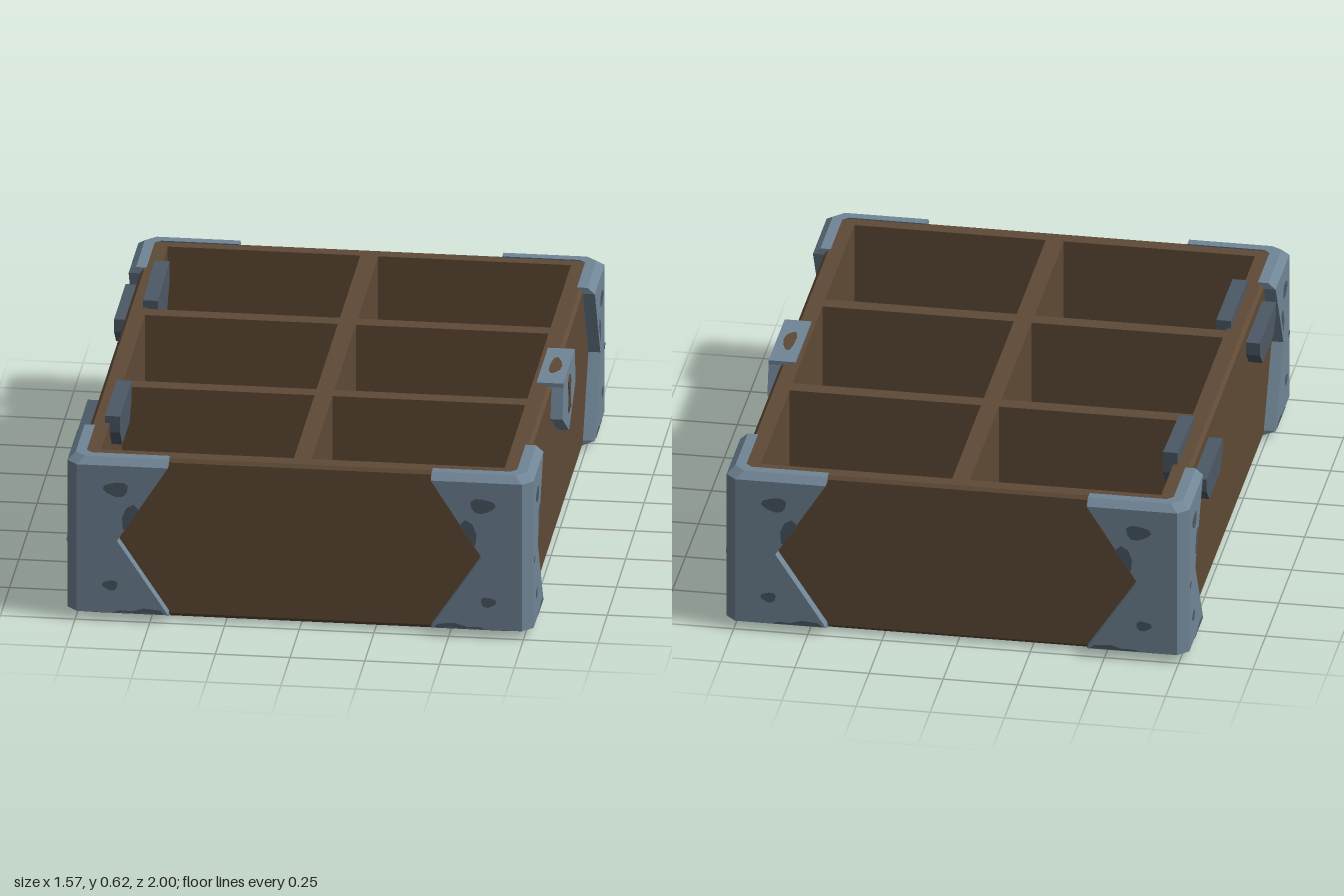
import * as THREE from 'three';

const wood = new THREE.MeshStandardMaterial({ color: 0x5f4a36 });
const steel = new THREE.MeshStandardMaterial({ color: 0x708596 });
const darkSteel = new THREE.MeshStandardMaterial({ color: 0x4c5965, side: THREE.DoubleSide });
wood.name = 'wood';
steel.name = 'steel';
darkSteel.name = 'darkSteel';

function add(group, name, geometry, material) {
  const mesh = new THREE.Mesh(geometry, material);
  mesh.name = name;
  group.add(mesh);
  return mesh;
}

// Flat-shaded loft through plan outlines: rings = [{ y, pts: [[x, z], ...] }]
function loft(rings, capStart, capEnd) {
  const pos = [];
  const loops = rings.map(({ y, pts }) => {
    const v = pts.map(([x, z]) => new THREE.Vector2(x, -z));
    if (THREE.ShapeUtils.isClockWise(v)) v.reverse();
    return v.map((p) => new THREE.Vector3(p.x, y, -p.y));
  });
  const tri = (...ps) => ps.forEach((p) => pos.push(p.x, p.y, p.z));
  for (let i = 0; i < loops.length - 1; i++) {
    const lo = loops[i], hi = loops[i + 1], n = lo.length;
    for (let j = 0; j < n; j++) {
      const k = (j + 1) % n;
      tri(lo[j], lo[k], hi[k]);
      tri(lo[j], hi[k], hi[j]);
    }
  }
  const cap = (loop, flip) => {
    const flat = loop.map((p) => new THREE.Vector2(p.x, -p.z));
    THREE.ShapeUtils.triangulateShape(flat, []).forEach(([a, b, c]) =>
      flip ? tri(loop[a], loop[c], loop[b]) : tri(loop[a], loop[b], loop[c]));
  };
  if (capStart) cap(loops[0], true);
  if (capEnd) cap(loops[loops.length - 1], false);
  const g = new THREE.BufferGeometry();
  g.setAttribute('position', new THREE.Float32BufferAttribute(pos, 3));
  g.computeVertexNormals();
  return g;
}

const rect = (x0, x1, z0, z1) => [[x0, z0], [x1, z0], [x1, z1], [x0, z1]];
const vectors = (pts) => pts.map(([a, b]) => new THREE.Vector2(a, b));

// Slightly uneven oval
function blob(cx, cy, rx, ry) {
  return Array.from({ length: 12 }, (_, i) => {
    const a = (i / 12) * Math.PI * 2, r = 1 + 0.12 * Math.sin(3 * a + 1);
    return [cx + Math.cos(a) * rx * r, cy + Math.sin(a) * ry * r];
  });
}

// Plate outlined in (z, y), thickened from x0 to x1
function sidePlate(pts, x0, x1) {
  const shape = new THREE.Shape(vectors(pts.map(([z, y]) => [-z, y])));
  const g = new THREE.ExtrudeGeometry(shape, { depth: x1 - x0, bevelEnabled: false });
  return g.rotateY(Math.PI / 2).translate(x0, 0, 0);
}

function makeBody() {
  const body = new THREE.Group();
  body.name = 'body';
  const top = 0.572;
  const ring = (y, x, z) => ({ y, pts: rect(-x, x, -z, z) });
  add(body, 'outerWalls', loft([
    ring(0.003, 0.715, 0.935), ring(0.022, 0.74, 0.96), ring(0.56, 0.74, 0.96), ring(top, 0.728, 0.95),
  ], true, false), wood);

  // Rim with six openings, and the lining of each compartment
  const rim = new THREE.Shape(vectors(rect(-0.728, 0.728, -0.95, 0.95)));
  for (const [x0, x1] of [[-0.675, -0.03], [0.03, 0.675]]) {
    for (const [z0, z1] of [[-0.905, -0.35], [-0.295, 0.285], [0.34, 0.9]]) {
      rim.holes.push(new THREE.Path(vectors(rect(x0, x1, -z1, -z0))));
      const pts = rect(x0, x1, z0, z1);
      add(body, 'compartment', loft([{ y: top, pts }, { y: 0.04, pts }], false, true), wood);
    }
  }
  add(body, 'rim', new THREE.ShapeGeometry(rim).rotateX(-Math.PI / 2).translate(0, top, 0), wood);
  return body;
}

function makeCorner(sx, sz) {
  const corner = new THREE.Group();
  corner.name = 'cornerBracket';
  // y, outer x, outer z, end x, end z, inner x, inner z
  const levels = [
    [0, 0.71, 0.93, 0.44, 0.7, 0.66, 0.88],
    [0.03, 0.78, 1, 0.44, 0.7, 0.73, 0.95],
    [0.287, 0.78, 1, 0.61, 0.85, 0.73, 0.95],
    [0.555, 0.78, 1, 0.44, 0.7, 0.73, 0.95],
    [0.577, 0.755, 0.975, 0.44, 0.7, 0.72, 0.942],
  ];
  const c = 0.035, d = 0.02;
  add(corner, 'bracket', loft(levels.map(([y, ox, oz, ex, ez, ix, iz]) => ({
    y,
    pts: [[ex, oz], [ox - c, oz], [ox, oz - c], [ox, ez], [ix, ez], [ix, iz - d], [ix - d, iz], [ex, iz]]
      .map(([x, z]) => [x * sx, z * sz]),
  })), true, true), steel);

  // Worn patches on both faces
  const patches = [
    blob(0.612, 0.472, 0.042, 0.026),
    blob(0.632, 0.128, 0.026, 0.018),
    [[0.535, 0.4], [0.555, 0.42], [0.58, 0.405], [0.593, 0.37], [0.59, 0.33], [0.582, 0.33]],
    [[0.45, 0.032], [0.62, 0.032], [0.6, 0.04], [0.56, 0.038], [0.52, 0.05], [0.465, 0.045]],
  ];
  const flat = (pts) => new THREE.ShapeGeometry(new THREE.Shape(vectors(pts)));
  for (const p of patches) {
    add(corner, 'wornPatch', flat(p.map(([u, y]) => [u * sx, y])).translate(0, 0, sz * 1.002), darkSteel);
  }
  for (const p of [...patches, blob(0.69, 0.27, 0.016, 0.012)]) {
    const g = flat(p.map(([u, y]) => [-(u + 0.262) * sz, y]));
    // turn so that the patch faces outward
    if (sx > 0) g.rotateY(Math.PI / 2);
    else g.scale(-1, 1, 1).rotateY(-Math.PI / 2).scale(1, 1, -1);
    const pos = g.attributes.position;
    for (let i = 0; i < pos.count; i++) {
      pos.setX(i, sx * 0.782);
      pos.setZ(i, Math.abs(pos.getZ(i)) * sz);
    }
    g.computeVertexNormals();
    add(corner, 'wornPatch', g, darkSteel);
  }
  return corner;
}

function makeLatch() {
  const latch = new THREE.Group();
  latch.name = 'latch';
  const shield = [[-0.152, 0.577], [-0.18, 0.46], [0, 0.35], [0.18, 0.46], [0.152, 0.577]];
  add(latch, 'shieldPlate', sidePlate(shield, 0.735, 0.78), steel);
  add(latch, 'topFlap', new THREE.BoxGeometry(0.09, 0.03, 0.31).translate(0.735, 0.564, 0), steel);
  // Keyhole: round head over a flared slot
  const hole = [[-0.028, 0.425], [0.028, 0.425], [0.013, 0.485]];
  for (let i = 0; i <= 8; i++) {
    const a = -0.7 + (i / 8) * (Math.PI + 1.4);
    hole.push([Math.cos(a) * 0.027, 0.52 + Math.sin(a) * 0.03]);
  }
  hole.push([-0.013, 0.485]);
  add(latch, 'keyhole', sidePlate(hole, 0.778, 0.784), wood);
  const slot = blob(0.735, 0, 0.02, 0.065);
  add(latch, 'topSlot', loft([{ y: 0.577, pts: slot }, { y: 0.582, pts: slot }], false, true), wood);
  return latch;
}

function makeHinge(z, rise) {
  const hinge = new THREE.Group();
  hinge.name = 'hinge';
  const at = (pts) => pts.map(([u, y]) => [z + u, y]);
  add(hinge, 'outerLeaf', sidePlate(at([
    [-0.157, 0.525], [-0.157, 0.48], [-0.1, 0.425], [0.1, 0.425], [0.157, 0.48], [0.157, 0.525],
  ]), -0.787, -0.735), darkSteel);
  add(hinge, 'innerLeaf', sidePlate(at([
    [-0.157, 0.6 + rise], [-0.157, 0.54], [-0.1, 0.475], [0.1, 0.475], [0.157, 0.54], [0.157, 0.598],
  ]), -0.69, -0.64), darkSteel);
  return hinge;
}

export function createModel() {
  const model = new THREE.Group();
  model.name = 'compartmentBox';
  model.add(makeBody());
  for (const sx of [-1, 1]) for (const sz of [-1, 1]) model.add(makeCorner(sx, sz));
  model.add(makeLatch(), makeHinge(-0.517, 0.015), makeHinge(0.512, 0));
  return model;
}
